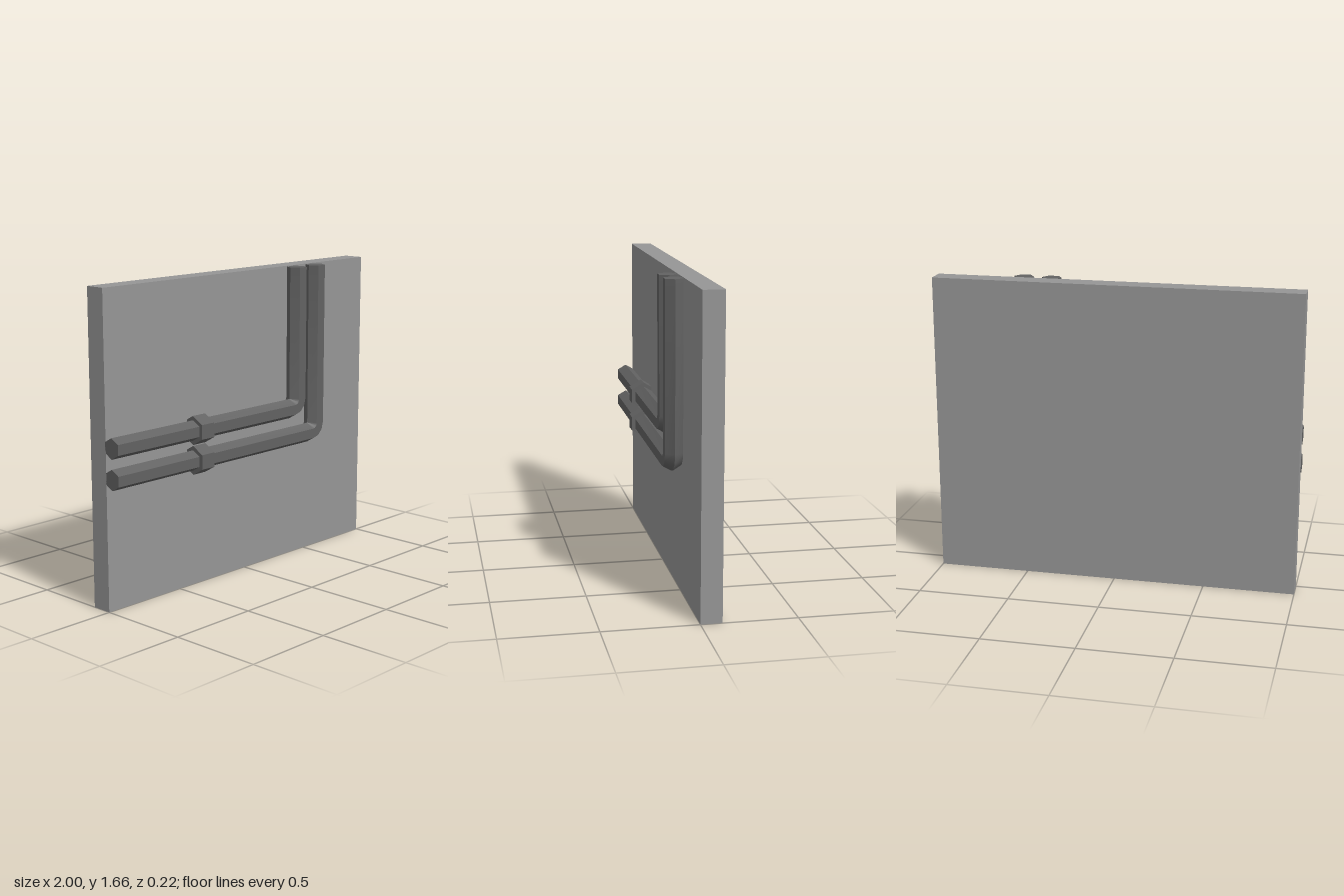
import * as THREE from 'three';
import { toCreasedNormals } from 'three/addons/utils/BufferGeometryUtils.js';

const TOP = 1.658, PIPE_Z = 0.047, PIPE_R = 0.055, BEND_R = 0.056;

// Hexagonal pipe: runs in from the -x edge, bends a quarter turn, rises to the top.
function pipeGeometry(cornerX, cornerY) {
  // The free end leans very slightly into the wall
  const stations = [{ x: -1, y: cornerY, z: PIPE_Z - 0.004, a: 0 }];
  const steps = 3;
  for (let i = 0; i <= steps; i++) {
    const a = (i / steps) * Math.PI / 2;
    stations.push({
      x: cornerX - BEND_R + BEND_R * Math.sin(a),
      y: cornerY + BEND_R - BEND_R * Math.cos(a),
      z: PIPE_Z,
      a,
    });
  }
  stations.push({ x: cornerX, y: TOP - 0.004, z: PIPE_Z, a: Math.PI / 2 });

  // Move each ring of a straight cylinder onto its station
  const rows = stations.length - 1;
  const geo = new THREE.CylinderGeometry(PIPE_R, PIPE_R, rows, 6, rows);
  const pos = geo.attributes.position;
  for (let i = 0; i < pos.count; i++) {
    const s = stations[Math.round(pos.getY(i) + rows / 2)];
    const inward = pos.getZ(i);
    pos.setXYZ(i,
      s.x - Math.sin(s.a) * inward,
      s.y + Math.cos(s.a) * inward,
      s.z + pos.getX(i));
  }
  // Smooth round the bend, crisp along the six edges
  return toCreasedNormals(geo, 0.6);
}

export function createModel() {
  const group = new THREE.Group();
  const wallGrey = new THREE.MeshStandardMaterial({ color: 0x969696 });
  const pipeGrey = new THREE.MeshStandardMaterial({ color: 0x626262 });
  const couplingGrey = new THREE.MeshStandardMaterial({ color: 0x626262, flatShading: true });

  function add(name, geometry, material, x = 0, y = 0, z = 0) {
    const mesh = new THREE.Mesh(geometry, material);
    mesh.name = name;
    mesh.position.set(x, y, z);
    group.add(mesh);
  }

  // Wall slab
  add('wall', new THREE.BoxGeometry(2, TOP, 0.112), wallGrey, 0, TOP / 2, -0.056);

  // Two nested pipes, each with a hexagonal coupling
  const coupling = new THREE.CylinderGeometry(0.078, 0.078, 0.09, 6);
  coupling.rotateZ(-Math.PI / 2).rotateX(Math.PI / 2);
  const pipes = [
    { name: 'upper', x: 0.377, y: 0.863 },
    { name: 'lower', x: 0.532, y: 0.702 },
  ];
  for (const p of pipes) {
    add(p.name + 'Pipe', pipeGeometry(p.x, p.y), pipeGrey);
    add(p.name + 'Coupling', coupling, couplingGrey, -0.391, p.y, PIPE_Z - 0.002);
  }
  return group;
}
